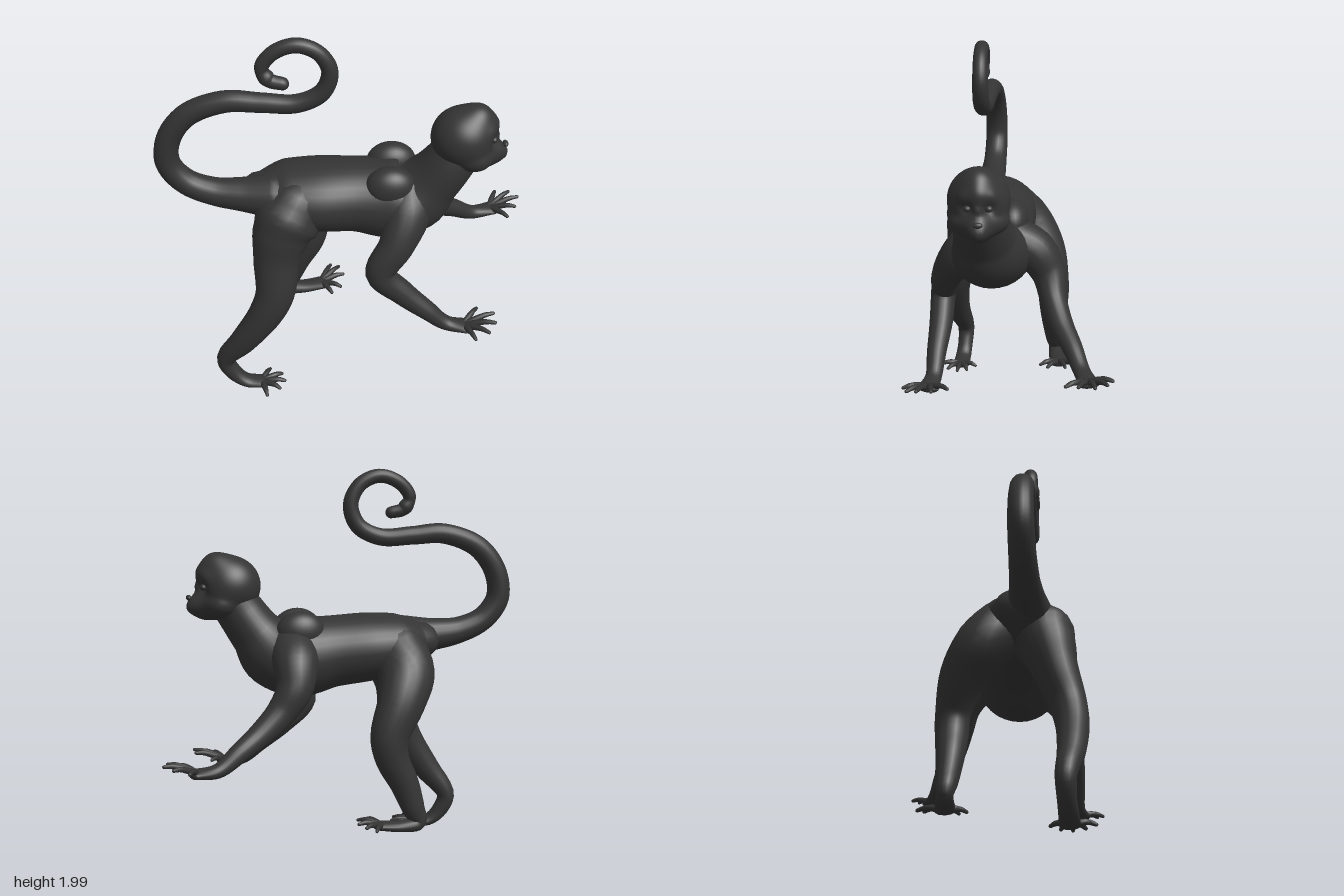
import * as THREE from 'three';
import { mergeVertices } from 'three/addons/utils/BufferGeometryUtils.js';

const fur = new THREE.MeshStandardMaterial({ color: 0x343434 });
fur.name = 'charcoal fur';

const LATERAL = new THREE.Vector3(1, 0, 1).normalize(); // the animal's own sideways axis

function add(parent, name, geometry) {
  const mesh = new THREE.Mesh(geometry, fur);
  mesh.name = name;
  parent.add(mesh);
  return mesh;
}

// Smooth body through stations [x, y, z, half width, half depth], with rounded ends
function loft(stations, steps = 32, sides = 20) {
  const path = new THREE.CatmullRomCurve3(stations.map(s => new THREE.Vector3(s[0], s[1], s[2])));
  const size = new THREE.CatmullRomCurve3(stations.map(s => new THREE.Vector3(s[3], s[4] ?? s[3], 0)));
  const rings = [];
  const ring = (t, angle, dir) => {
    const T = path.getTangent(t);
    const r = size.getPoint(t);
    const k = Math.cos(angle);
    const c = path.getPoint(t).addScaledVector(T, dir * Math.sin(angle) * Math.min(r.x, r.y));
    const S = LATERAL.clone().addScaledVector(T, -LATERAL.dot(T)).normalize();
    rings.push({ c, S, N: T.clone().cross(S), a: r.x * k, b: r.y * k });
  };
  for (let i = 4; i > 0; i--) ring(0, i * Math.PI / 8, -1);
  for (let i = 0; i <= steps; i++) ring(i / steps, 0, 0);
  for (let i = 1; i <= 4; i++) ring(1, i * Math.PI / 8, 1);
  const pos = [], index = [];
  rings.forEach(({ c, S, N, a, b }, i) => {
    for (let j = 0; j < sides; j++) {
      const q = j / sides * Math.PI * 2;
      const p = c.clone().addScaledVector(S, a * Math.cos(q)).addScaledVector(N, b * Math.sin(q));
      pos.push(p.x, p.y, p.z);
      if (i === 0) continue;
      const n = (j + 1) % sides, lo = (i - 1) * sides, hi = i * sides;
      index.push(lo + j, lo + n, hi + n, lo + j, hi + n, hi + j);
    }
  });
  const g = new THREE.BufferGeometry();
  g.setAttribute('position', new THREE.Float32BufferAttribute(pos, 3));
  g.setIndex(index);
  g.computeVertexNormals();
  return g;
}

function blob(parent, name, [x, y, z], [rx, ry, rz]) {
  const mesh = add(parent, name, new THREE.SphereGeometry(1, 28, 20));
  mesh.position.set(x, y, z);
  mesh.scale.set(rx, ry, rz);
  return mesh;
}

// Limb with a palm or sole at its end and five slim digits
function limb(parent, name, stations, palm, tips) {
  const group = new THREE.Group();
  group.name = name;
  parent.add(group);
  add(group, name + 'Limb', loft(stations, 44));
  const [px, py, pz] = palm;
  tips.forEach(([x, y, z]) => {
    const at = (k, lift, r) => [px + (x - px) * k, py + (y - py) * k + lift, pz + (z - pz) * k, r];
    add(group, name + 'Digit', loft([
      at(0.1, 0, 0.018), at(0.4, 0.008, 0.016), at(0.7, 0.01, 0.013), at(0.96, 0, 0.009),
    ], 10, 8));
  });
}

// Distance from the origin along unit direction d to the far side of an ellipsoid
function reach(d, centre, radii) {
  const u = d.clone().divide(radii), w = centre.clone().divide(radii);
  const a = u.dot(u), b = u.dot(w);
  return (b + Math.sqrt(b * b - a * (w.dot(w) - 1))) / a;
}

// Skull and jaw in one skin, with rounded bumps and hollows for the face
function headGeometry() {
  const v = (x, y, z) => new THREE.Vector3(x, y, z);
  const skull = [v(0, 0.02, -0.01), v(0.15, 0.152, 0.158)];
  const jaw = [v(0, -0.06, 0.03), v(0.138, 0.092, 0.122)];
  const bumps = [ // direction, height, angular width
    [v(0, 0.13, 0.07), 0.04, 0.45],      // crown
    [v(0, 0.08, 0.14), 0.022, 0.28],     // brow peak
    [v(0, -0.055, 0.15), 0.062, 0.3],    // muzzle
    [v(0, -0.11, 0.11), 0.025, 0.3],     // chin
    [v(0, 0.02, 0.15), 0.014, 0.13],     // nose bridge
    ...[-1, 1].flatMap(s => [
      [v(s * 0.07, 0.075, 0.13), 0.012, 0.22],   // brows
      [v(s * 0.055, 0.02, 0.14), -0.02, 0.2],    // eye sockets
      [v(s * 0.12, -0.06, 0.06), 0.01, 0.35],    // cheeks
    ]),
  ].map(([d, h, w]) => [d.normalize(), h, w]);
  const sphere = new THREE.SphereGeometry(1, 72, 54);
  sphere.deleteAttribute('uv');
  sphere.deleteAttribute('normal');
  const g = mergeVertices(sphere);
  const p = g.attributes.position;
  for (let i = 0; i < p.count; i++) {
    const d = v(0, 0, 0).fromBufferAttribute(p, i).normalize();
    let r = (reach(d, ...skull) ** 24 + reach(d, ...jaw) ** 24) ** (1 / 24);
    for (const [dir, h, w] of bumps) r += h * Math.exp(-((d.angleTo(dir) / w) ** 2));
    p.setXYZ(i, d.x * r, d.y * r, d.z * r);
  }
  g.computeVertexNormals();
  return g;
}

export function createModel() {
  const model = new THREE.Group();
  model.name = 'monkey';

  // Torso from rump to neck
  add(model, 'torso', loft([
    [-0.36, 1.11, 0.5, 0.13, 0.1],
    [-0.28, 1.1, 0.41, 0.2, 0.155],
    [-0.16, 1.085, 0.29, 0.215, 0.178],
    [-0.03, 1.07, 0.16, 0.2, 0.185],
    [0.1, 1.05, 0.04, 0.215, 0.208],
    [0.2, 1.08, -0.04, 0.2, 0.185],
    [0.275, 1.175, -0.085, 0.155, 0.137],
    [0.335, 1.275, -0.125, 0.137, 0.125],
    [0.37, 1.35, -0.16, 0.12, 0.12],
  ], 48, 32));

  // Shoulder blades, the left one riding a little higher
  for (const [s, y] of [[-1, 1.195], [1, 1.18]]) {
    blob(model, 'shoulderBlade', [0.1 + s * 0.062, y, 0.045 + s * 0.08], [0.085, 0.105, 0.125])
      .rotation.y = Math.PI * 0.75;
  }

  // Tail: an S that curls into a spiral, its tip drifting slightly aside
  const tail = [
    [-0.28, 1.12, 0.115], [-0.4, 1.13, 0.086], [-0.51, 1.15, 0.07], [-0.61, 1.21, 0.063],
    [-0.668, 1.32, 0.061], [-0.655, 1.46, 0.059], [-0.58, 1.59, 0.056], [-0.44, 1.662, 0.053],
    [-0.31, 1.655, 0.048], [-0.18, 1.65, 0.045], [-0.09, 1.71, 0.043], [-0.06, 1.82, 0.04],
    [-0.095, 1.92, 0.037], [-0.17, 1.963, 0.036], [-0.25, 1.925, 0.035], [-0.288, 1.85, 0.034],
    [-0.26, 1.79, 0.034], [-0.21, 1.773, 0.031],
  ];
  add(model, 'tail', loft(tail.map(([x, y, r], i) =>
    [x, y, 0.245 - 0.84 * x + 0.006 * Math.max(0, i - 11), r]), 110, 18));

  // Hind legs
  limb(model, 'rightLeg', [
    [-0.18, 1.09, 0.43, 0.14, 0.15], [-0.2, 0.98, 0.515, 0.14, 0.15], [-0.2, 0.83, 0.57, 0.108, 0.118],
    [-0.175, 0.65, 0.62, 0.088, 0.1], [-0.205, 0.52, 0.67, 0.078, 0.088], [-0.3, 0.34, 0.745, 0.064, 0.07],
    [-0.395, 0.19, 0.795, 0.048], [-0.37, 0.1, 0.775, 0.043], [-0.315, 0.042, 0.735, 0.045, 0.03],
    [-0.235, 0.035, 0.67, 0.048, 0.02],
  ], [-0.25, 0.035, 0.685],
  [[-0.15, 0.04, 0.75], [-0.13, 0.045, 0.67], [-0.15, 0.045, 0.61], [-0.2, 0.045, 0.58], [-0.28, 0.04, 0.59]]);

  limb(model, 'leftLeg', [
    [-0.31, 1.09, 0.34, 0.14, 0.145], [-0.4, 0.98, 0.285, 0.135, 0.148], [-0.43, 0.85, 0.185, 0.11, 0.125],
    [-0.41, 0.68, 0.1, 0.085, 0.1], [-0.42, 0.57, 0.105, 0.08, 0.088], [-0.47, 0.43, 0.15, 0.067, 0.075],
    [-0.51, 0.3, 0.175, 0.054, 0.06], [-0.535, 0.222, 0.19, 0.04], [-0.47, 0.21, 0.12, 0.045, 0.03],
    [-0.385, 0.225, 0.025, 0.05, 0.022],
  ], [-0.4, 0.225, 0.04],
  [[-0.45, 0.24, -0.1], [-0.395, 0.25, -0.11], [-0.33, 0.25, -0.075], [-0.275, 0.24, 0.01], [-0.285, 0.23, 0.075]]);

  // Forelegs
  limb(model, 'rightArm', [
    [0.2, 1.12, 0.03, 0.115, 0.125], [0.25, 1.04, 0.1, 0.105, 0.118], [0.265, 0.91, 0.2, 0.08, 0.09],
    [0.228, 0.765, 0.278, 0.066, 0.076], [0.31, 0.64, 0.21, 0.06, 0.064], [0.41, 0.53, 0.135, 0.05],
    [0.49, 0.443, 0.07, 0.042, 0.036], [0.58, 0.43, 0.01, 0.055, 0.022],
  ], [0.565, 0.435, 0.02],
  [[0.555, 0.46, -0.11], [0.665, 0.485, -0.11], [0.717, 0.485, -0.055], [0.726, 0.465, 0.01], [0.69, 0.445, 0.08]]);

  limb(model, 'leftArm', [
    [0.08, 1.12, -0.05, 0.115, 0.125], [-0.005, 1.05, -0.15, 0.11, 0.115], [-0.04, 0.94, -0.215, 0.088, 0.093],
    [-0.005, 0.83, -0.285, 0.068, 0.075], [0.045, 0.735, -0.39, 0.06, 0.062], [0.09, 0.662, -0.51, 0.05],
    [0.14, 0.592, -0.62, 0.042, 0.036], [0.205, 0.59, -0.725, 0.055, 0.022],
  ], [0.195, 0.595, -0.71],
  [[0.15, 0.625, -0.83], [0.224, 0.64, -0.86], [0.297, 0.645, -0.845], [0.333, 0.635, -0.77], [0.338, 0.61, -0.69]]);

  // Head, built facing its own +z and then turned
  const head = new THREE.Group();
  head.name = 'head';
  head.position.set(0.39, 1.4, -0.17);
  head.rotation.y = Math.PI * 0.75;
  model.add(head);
  add(head, 'skull', headGeometry());
  blob(head, 'nose', [0, -0.035, 0.2], [0.024, 0.014, 0.014]);
  for (const s of [-1, 1]) blob(head, 'eye', [s * 0.05, 0.022, 0.132], [0.019, 0.016, 0.018]);
  return model;
}
